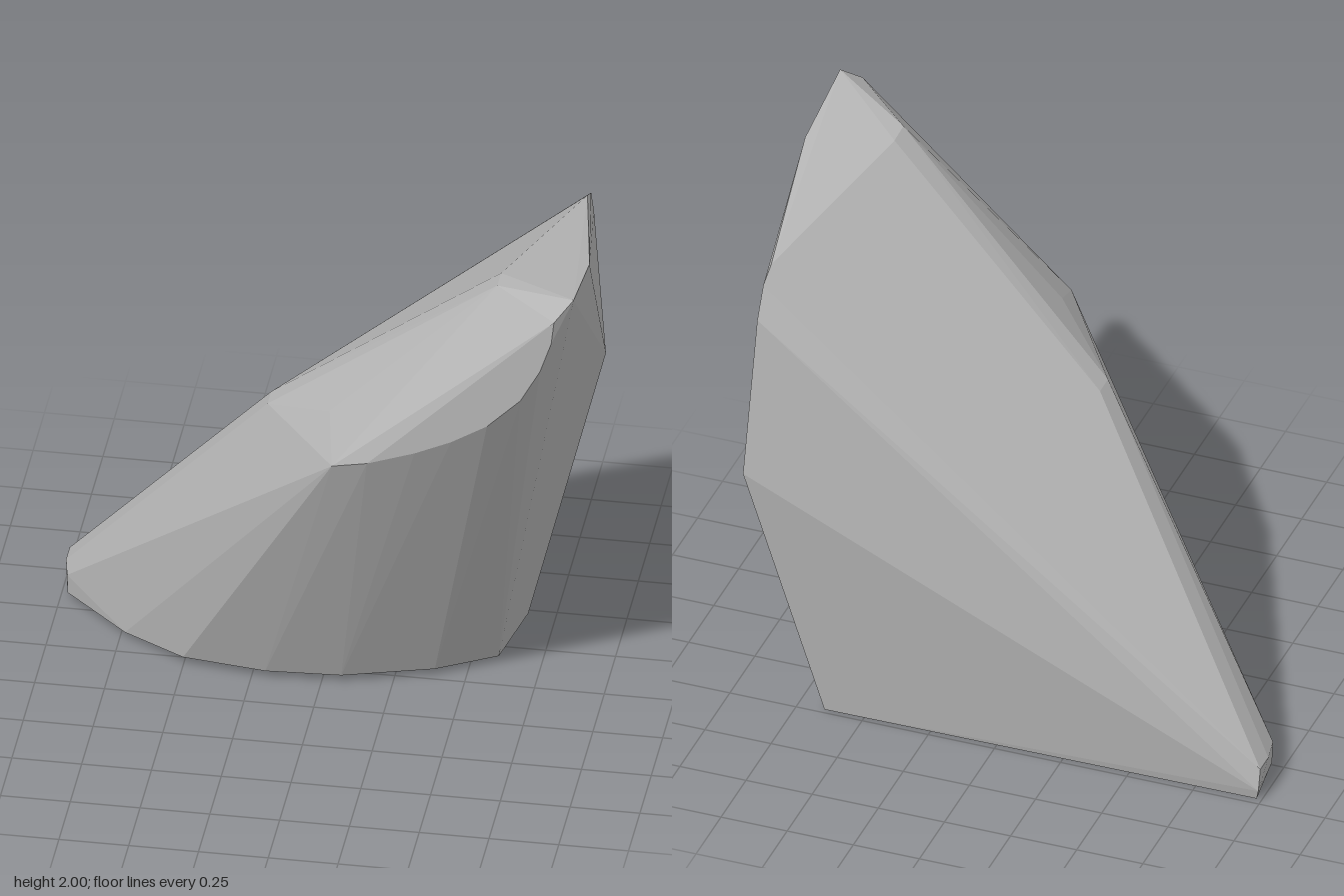
import * as THREE from 'three';
import { ConvexGeometry } from 'three/addons/geometries/ConvexGeometry.js';

export function createModel() {
  const group = new THREE.Group();
  const stone = new THREE.MeshStandardMaterial({ color: 0xb4b4b4 });
  stone.name = 'stoneGrey';

  // curved rim just above the ground, from the right tip round to the left corner
  const rim = [
    [-0.97, 0.04, -0.29], [-0.73, 0.03, -0.08], [-0.5, 0.035, 0.055], [-0.2, 0.03, 0.09],
    [0.07, 0.03, 0.075], [0.39, 0.03, -0.02], [0.6, 0.03, -0.14],
  ];
  // underside, slightly inset from the rim
  const base = rim.map(([x, , z]) => [x * 0.98, 0, z - 0.06]);
  base.push([-0.98, 0, -0.47], [0.65, 0, -0.48]);

  // low tip
  const tip = [[-0.99, 0.04, -0.48], [-0.99, 0.12, -0.46], [-0.99, 0.12, -0.38], [-0.97, 0.12, -0.28]];

  // upright front facet with an arched lower edge
  const arch = [
    [0.12, 1.24], [0.25, 1.28], [0.42, 1.34], [0.55, 1.4], [0.68, 1.48],
    [0.8, 1.6], [0.87, 1.73], [0.91, 1.85], [0.92, 1.94],
  ].map(([x, y], i) => [x, y, i === 0 ? 0.59 : 0.615]);

  // sloping top: ridge, peak and bevels
  const top = [
    [-0.18, 1.2, 0.16], [-0.18, 1.2, 0.08], [0.08, 1.34, 0.39],
    [0.68, 1.93, 0.39], [0.68, 1.925, 0.3], [0.98, 2, 0.55], [0.98, 1.93, 0.2],
  ];

  // back edge, stepping down from the top
  const back = [[0.87, 1.81, -0.43], [0.87, 1.77, -0.51], [0.87, 1.66, -0.57], [0.905, 1.03, -0.62]];

  const points = [...rim, ...base, ...tip, ...arch, ...top, ...back].map((p) => new THREE.Vector3(...p));
  const rock = new THREE.Mesh(new ConvexGeometry(points), stone);
  rock.name = 'rock';
  group.add(rock);
  return group;
}
